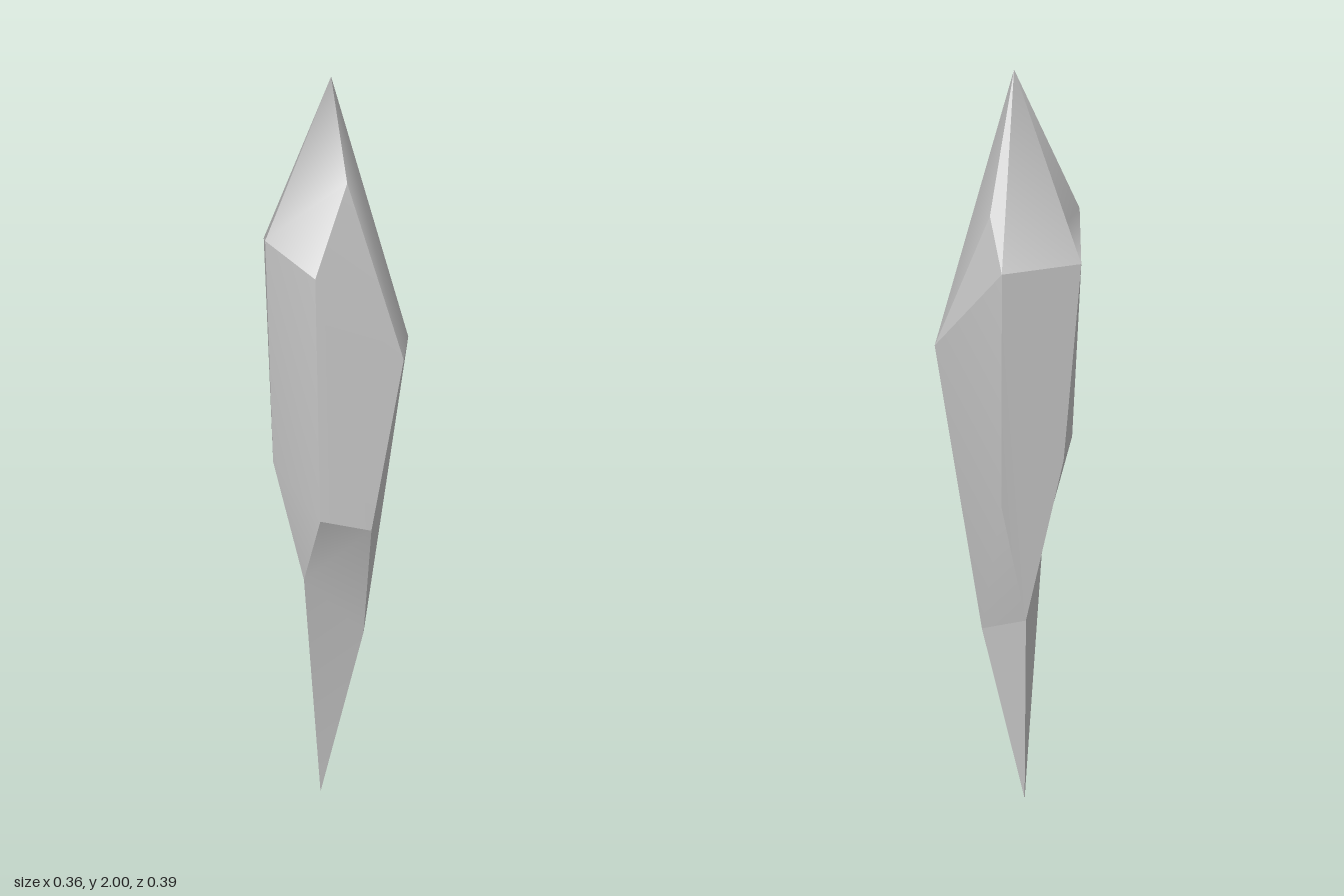
import * as THREE from 'three';
import { mergeGeometries } from 'three/addons/utils/BufferGeometryUtils.js';

// Named corners of the crystal
const corners = {
  T: [-0.005, 2, 0], // upper tip
  G: [0.04, 1.77, 0.07], H: [0.028, 1.69, -0.137], P: [-0.1, 1.6, 0], // upper facet corners
  A: [-0.01, 1.57, -0.196], B: [-0.18, 1.57, -0.09], C: [-0.146, 1.64, 0.118], // shoulder
  D: [-0.02, 1.58, 0.196], E: [0.178, 1.335, 0.074], F: [0.178, 1.335, -0.07],
  L: [-0.14, 1.05, 0.085], Q: [-0.14, 1.05, -0.063], // waist
  J: [-0.01, 0.95, 0.197], I: [0.11, 0.9, 0.138], N: [0, 0.95, -0.15],
  K: [-0.063, 0.73, 0.105], O: [-0.05, 0.6, -0.08], M: [0.08, 0.52, 0], // lower facet corners
  Z: [-0.035, 0, 0], // lower tip
};

// Each facet is a list of triangles, anticlockwise from outside; shading is smooth within a facet
const parts = {
  crown: ['TAB TBP PBC TPC TCG CDG', 'THA', 'TGE TEF TFH', 'HFA'],
  body: ['DJI DIE DEG', 'EIM EMF', 'JDC JCL JLK', 'BQL BLC', 'QOK QKL', 'ANO AOQ AQB', 'NAF NFM NMO'],
  root: ['KZM KMI KIJ', 'OMZ', 'OZK'],
};

function facetGeometry(facet) {
  const keys = [...new Set(facet.replaceAll(' ', ''))];
  const geometry = new THREE.BufferGeometry();
  geometry.setAttribute('position', new THREE.Float32BufferAttribute(keys.flatMap((k) => corners[k]), 3));
  geometry.setIndex([...facet.replaceAll(' ', '')].map((k) => keys.indexOf(k)));
  geometry.computeVertexNormals();
  return geometry;
}

export function createModel() {
  const group = new THREE.Group();
  group.name = 'crystalShard';
  const material = new THREE.MeshStandardMaterial({ color: 0xcccccc });
  for (const [name, facets] of Object.entries(parts)) {
    const mesh = new THREE.Mesh(mergeGeometries(facets.map(facetGeometry)), material);
    mesh.name = name;
    group.add(mesh);
  }
  return group;
}
